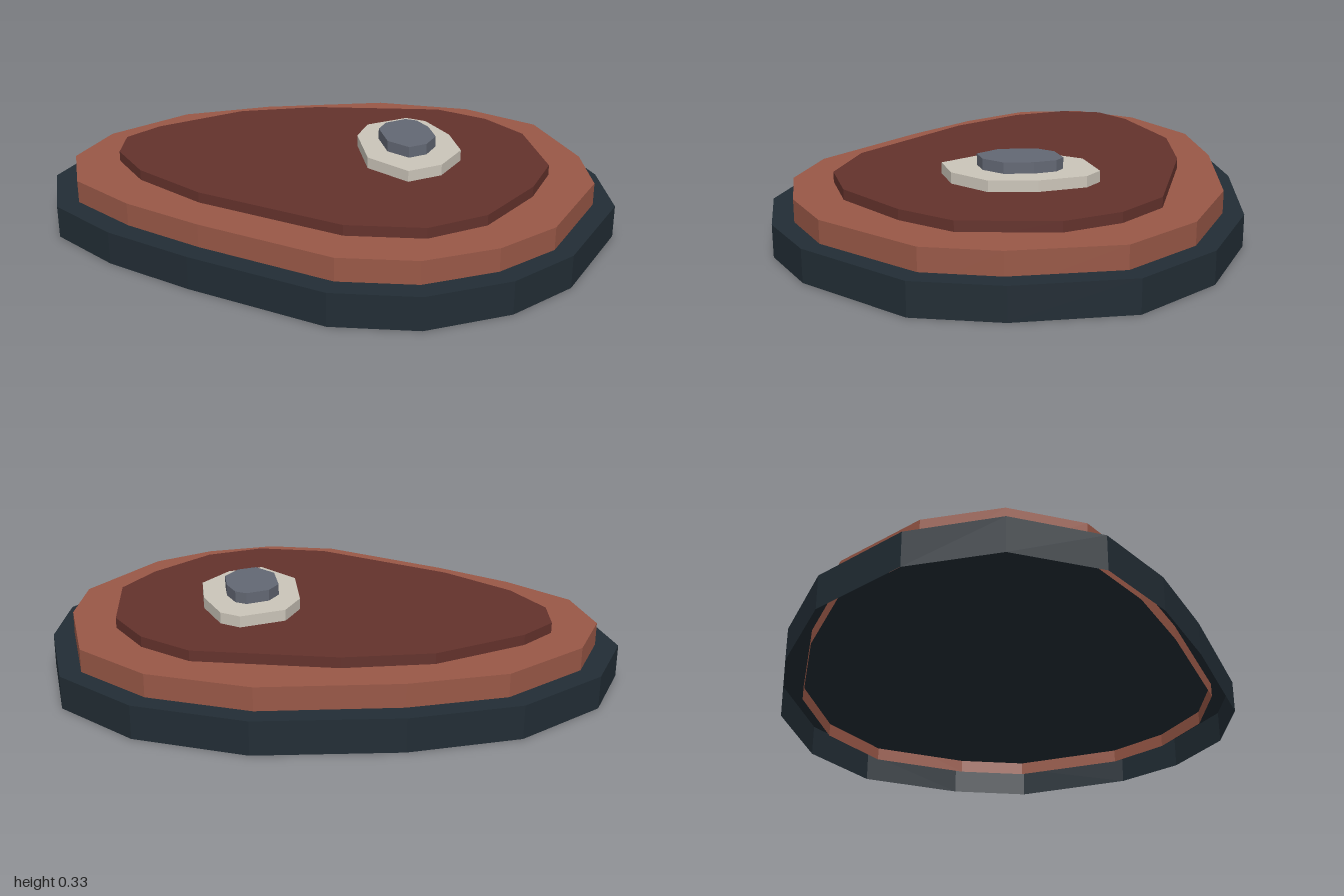
import * as THREE from 'three';

// Outlines as [x, z], running clockwise seen from above
const RIM = [[0.07, -1], [0.475, -0.875], [0.74, -0.7], [0.95, -0.27], [0.975, 0.02], [0.89, 0.33], [0.69, 0.565], [0.205, 0.805],
  [-0.13, 0.94], [-0.45, 1], [-0.75, 0.88], [-0.93, 0.61], [-0.975, 0.22], [-0.85, -0.17], [-0.6, -0.615], [-0.285, -0.89]];
const FAT = [[0.07, -0.92], [0.45, -0.8], [0.68, -0.645], [0.88, -0.25], [0.895, 0.015], [0.82, 0.285], [0.64, 0.5], [0.16, 0.735],
  [-0.145, 0.855], [-0.445, 0.915], [-0.695, 0.815], [-0.85, 0.59], [-0.895, 0.22], [-0.78, -0.125], [-0.54, -0.565], [-0.25, -0.82]];
const MEAT = [[-0.02, -0.725], [0.205, -0.725], [0.52, -0.565], [0.64, -0.37], [0.735, -0.07], [0.7, 0.165], [0.52, 0.38], [-0.005, 0.64],
  [-0.32, 0.715], [-0.545, 0.695], [-0.68, 0.6], [-0.72, 0.435], [-0.695, 0.06], [-0.555, -0.235], [-0.23, -0.64]];
const BONE = [[-0.125, -0.385], [-0.05, -0.425], [0.13, -0.4], [0.29, -0.325], [0.365, -0.17], [0.345, -0.03], [0.15, 0.01],
  [-0.07, -0.1], [-0.15, -0.21]];
const MARROW = [[-0.02, -0.3], [0.02, -0.325], [0.105, -0.315], [0.205, -0.27], [0.25, -0.19], [0.24, -0.115], [0.14, -0.09],
  [0.01, -0.145], [-0.03, -0.21]];

// Slab with upright sides and a flat top, open underneath
function slabGeometry(outline, y0, y1) {
  const n = outline.length;
  const cx = outline.reduce((s, p) => s + p[0], 0) / n;
  const cz = outline.reduce((s, p) => s + p[1], 0) / n;
  const pos = [];
  outline.forEach(([ax, az], i) => {
    const [bx, bz] = outline[(i + 1) % n];
    pos.push(bx, y0, bz, ax, y0, az, ax, y1, az);
    pos.push(bx, y0, bz, ax, y1, az, bx, y1, bz);
    pos.push(cx, y1, cz, bx, y1, bz, ax, y1, az);
  });
  const geometry = new THREE.BufferGeometry();
  geometry.setAttribute('position', new THREE.Float32BufferAttribute(pos, 3));
  geometry.computeVertexNormals();
  return geometry;
}

export function createModel() {
  const group = new THREE.Group();
  group.name = 'steak';

  // part, outline, bottom, top, colour name, colour
  const layers = [
    ['outerRim', RIM, 0, 0.122, 'dark slate', 0x222d35],
    ['outerMeat', FAT, 0.07, 0.207, 'light brown red', 0x995847],
    ['innerMeat', MEAT, 0.165, 0.246, 'dark brown red', 0x64322c],
    ['bone', BONE, 0.22, 0.288, 'bone white', 0xcbc5b9],
    ['marrow', MARROW, 0.26, 0.33, 'blue grey', 0x636874],
  ];
  for (const [name, outline, y0, y1, colourName, color] of layers) {
    const material = new THREE.MeshStandardMaterial({ color, flatShading: true, side: THREE.DoubleSide });
    material.name = colourName;
    const mesh = new THREE.Mesh(slabGeometry(outline, y0, y1), material);
    mesh.name = name;
    group.add(mesh);
  }
  return group;
}
